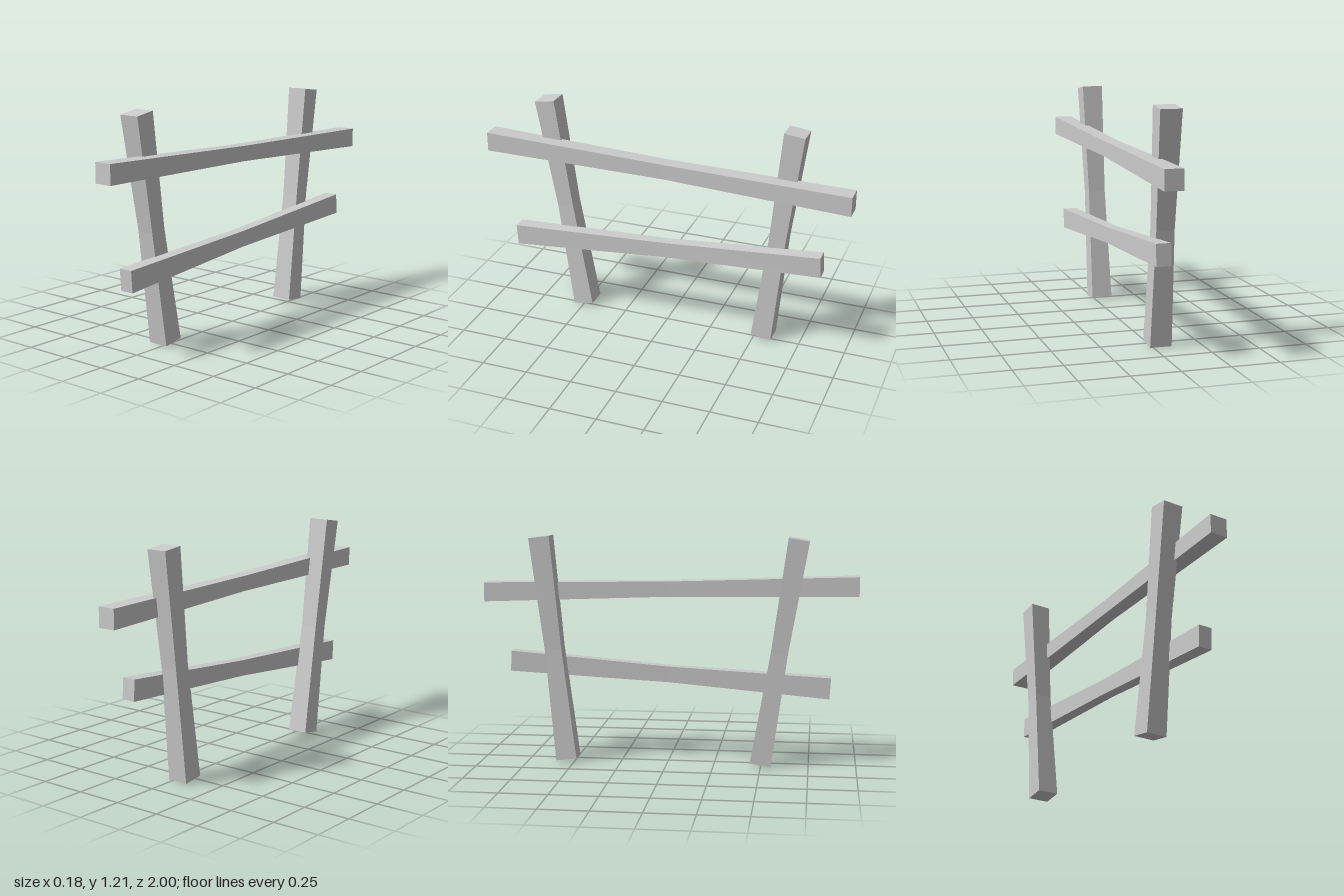
import * as THREE from 'three';

const material = new THREE.MeshStandardMaterial({ color: 0xcccccc, flatShading: true });

// Rough-hewn beam through rectangular sections: [zA, yA, zB, yB, xMin, xMax]
function beam(name, sections) {
  const rings = sections.map(([zA, yA, zB, yB, x0, x1]) => [
    [x0, yA, zA], [x1, yA, zA], [x1, yB, zB], [x0, yB, zB],
  ]);
  const positions = [];
  const quad = (a, b, c, d) => positions.push(...a, ...b, ...c, ...a, ...c, ...d);
  for (let s = 0; s < rings.length - 1; s++) {
    const lo = rings[s], hi = rings[s + 1];
    for (let i = 0; i < 4; i++) {
      const j = (i + 1) % 4;
      quad(lo[i], lo[j], hi[j], hi[i]);
    }
  }
  // End caps
  const first = rings[0], last = rings[rings.length - 1];
  quad(first[3], first[2], first[1], first[0]);
  quad(last[0], last[1], last[2], last[3]);

  const geometry = new THREE.BufferGeometry();
  geometry.setAttribute('position', new THREE.Float32BufferAttribute(positions, 3));
  geometry.computeVertexNormals();
  const mesh = new THREE.Mesh(geometry, material);
  mesh.name = name;
  return mesh;
}

export function createModel() {
  const fence = new THREE.Group();
  fence.name = 'fence';

  // Leaning posts, bottom to top, with a slightly narrower middle
  fence.add(beam('frontPost', [
    [0.553, 0, 0.443, 0.018, -0.093, 0.02],
    [0.635, 0.6, 0.547, 0.614, -0.084, 0.01],
    [0.74, 1.193, 0.631, 1.211, -0.093, 0.02],
  ]));
  fence.add(beam('backPost', [
    [-0.488, 0.017, -0.598, 0.003, -0.093, 0.02],
    [-0.565, 0.612, -0.654, 0.602, -0.084, 0.01],
    [-0.622, 1.211, -0.732, 1.198, -0.093, 0.02],
  ]));

  // Crooked rails, front to back
  fence.add(beam('topRail', [
    [1, 1.005, 1, 0.902, -0.006, 0.091],
    [0, 0.969, 0, 0.888, 0.003, 0.08],
    [-1, 0.953, -1, 0.85, -0.006, 0.091],
  ]));
  fence.add(beam('bottomRail', [
    [0.862, 0.467, 0.855, 0.354, 0.005, 0.08],
    [0, 0.511, 0, 0.426, 0.012, 0.072],
    [-0.857, 0.582, -0.863, 0.472, 0.005, 0.08],
  ]));

  return fence;
}
